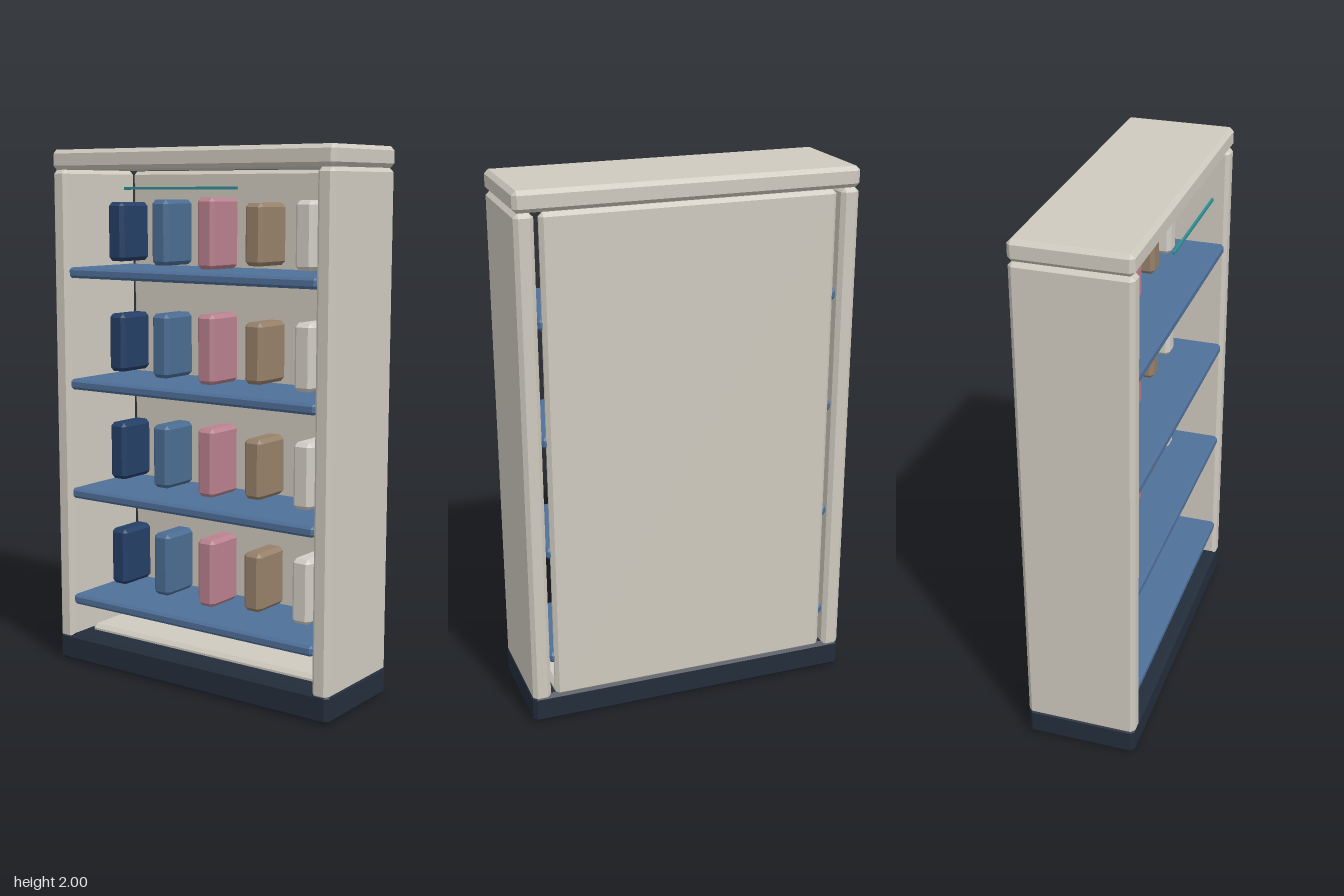
import * as THREE from 'three';
import { ConvexGeometry } from 'three/addons/geometries/ConvexGeometry.js';

const paint = (color) => new THREE.MeshStandardMaterial({ color, flatShading: true });
const CREAM = paint(0xcfcabf), DARK = paint(0x232d3b), BLUE = paint(0x4f7099), TEAL = paint(0x2f8f96);

// Box given by its [min, max] ranges, with every edge and corner cut by a chamfer
function chamferBox(name, [x0, x1], [y0, y1], [z0, z1], c, material) {
  const half = [(x1 - x0) / 2, (y1 - y0) / 2, (z1 - z0) / 2];
  const points = [];
  for (const sx of [-1, 1]) for (const sy of [-1, 1]) for (const sz of [-1, 1]) {
    for (let full = 0; full < 3; full++) {
      const p = half.map((h, i) => (i === full ? h : h - c));
      points.push(new THREE.Vector3(p[0] * sx, p[1] * sy, p[2] * sz));
    }
  }
  const mesh = new THREE.Mesh(new ConvexGeometry(points), material);
  mesh.name = name;
  mesh.position.set((x0 + x1) / 2, (y0 + y1) / 2, (z0 + z1) / 2);
  return mesh;
}

export function createModel() {
  const model = new THREE.Group();
  model.name = 'displayCabinet';
  const depth = [-0.218, 0.197];

  // Carcass: plinth, top slab, back, floor and two side walls
  model.add(
    chamferBox('plinth', [-0.626, 0.626], [0, 0.112], depth, 0.015, DARK),
    chamferBox('topSlab', [-0.626, 0.626], [1.925, 2], depth, 0.015, CREAM),
    chamferBox('backPanel', [-0.538, 0.538], [0.1, 1.923], [-0.216, -0.18], 0.014, CREAM),
    chamferBox('floorBoard', [-0.538, 0.538], [0.09, 0.134], [-0.2, 0.1], 0.014, CREAM),
    chamferBox('leftWall', [0.555, 0.624], [0.09, 1.925], depth, 0.015, CREAM),
    chamferBox('rightWall', [-0.624, -0.555], [0.09, 1.925], depth, 0.015, CREAM),
  );

  // Thin light strip in front of the header
  const strip = new THREE.Mesh(new THREE.BoxGeometry(0.5, 0.01, 0.008), TEAL);
  strip.name = 'lightStrip';
  strip.position.set(0, 1.855, 0.214);
  model.add(strip);

  // Shelves, each carrying five boxes of differing height
  const goods = [
    { color: paint(0x243f66), h: 0.225 },
    { color: paint(0x4a6c92), h: 0.245 },
    { color: paint(0xb9818f), h: 0.262 },
    { color: paint(0x968069), h: 0.225 },
    { color: paint(0xd2cec6), h: 0.245 },
  ];
  for (let row = 0; row < 4; row++) {
    const y = 0.255 + row * 0.428;
    model.add(chamferBox('shelf', [-0.555, 0.555], [y - 0.02, y + 0.02], [-0.203, 0.19], 0.01, BLUE));
    goods.forEach(({ color, h }, i) => {
      const x = -0.457 + i * 0.2143, mid = y + 0.152;
      model.add(chamferBox('shelfBox', [x - 0.039, x + 0.039], [mid - h / 2, mid + h / 2], [-0.14, 0.03], 0.015, color));
    });
  }
  return model;
}
